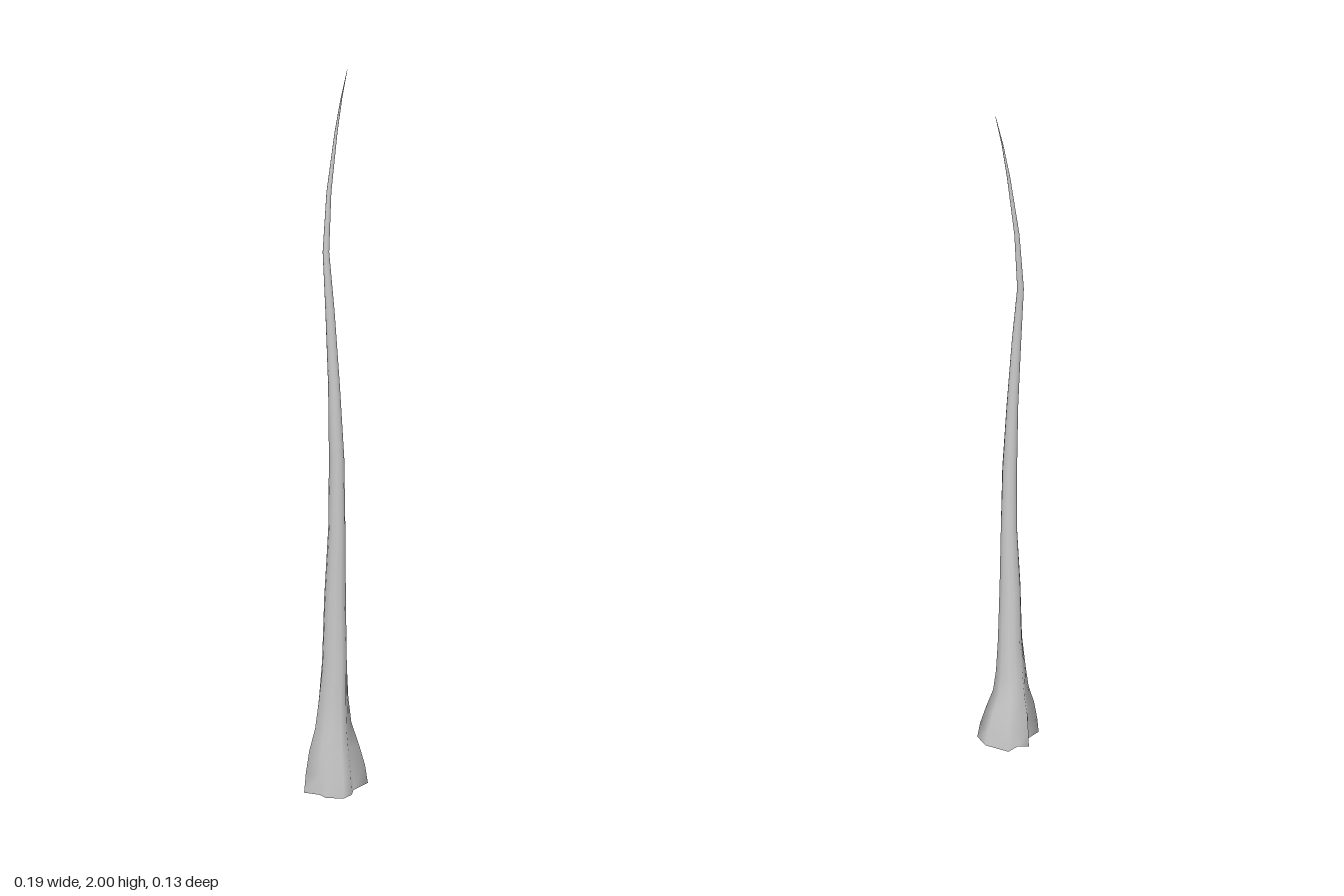
import * as THREE from 'three';

// Root flare outline at the ground, [x, z], counted from the left side towards the front
const FLARE = [
  [0.093, 0.023], [0.036, 0.037], [0.018, 0.058], [-0.012, 0.065],
  [-0.055, 0.037], [-0.062, 0.013], [-0.095, -0.02], [-0.055, -0.035],
  [-0.045, -0.068], [-0.012, -0.057], [0.022, -0.068], [0.08, -0.02],
];

// Trunk sections: y, min x, max x, min z, max z, share of the flare outline
const SECTIONS = [
  [0, -0.095, 0.093, -0.068, 0.065, 1],
  [0.06, -0.09, 0.084, -0.065, 0.062, 0.95],
  [0.13, -0.08, 0.066, -0.061, 0.056, 0.8],
  [0.2, -0.063, 0.044, -0.055, 0.052, 0.6],
  [0.28, -0.055, 0.035, -0.046, 0.048, 0.4],
  [0.4, -0.045, 0.028, -0.035, 0.046, 0.25],
  [0.6, -0.042, 0.02, -0.019, 0.045, 0.15],
  [0.8, -0.034, 0.013, -0.004, 0.047, 0.1],
  [1.0, -0.035, 0.005, 0.006, 0.05, 0],
  [1.2, -0.037, -0.006, 0.01, 0.041, 0],
  [1.4, -0.043, -0.018, 0.01, 0.03, 0],
  [1.55, -0.046, -0.029, 0.004, 0.02, 0],
  [1.7, -0.032, -0.019, 0.001, 0.012, 0],
  [1.85, -0.008, 0, 0.003, 0.009, 0],
  [1.93, 0.008, 0.012, 0.006, 0.01, 0],
  [2, 0.026, 0.027, 0.008, 0.009, 0],
];

function createTrunk(material) {
  const n = FLARE.length;
  const positions = [];
  const index = [];

  SECTIONS.forEach(([y, x0, x1, z0, z1, share], row) => {
    const cx = (x0 + x1) / 2, cz = (z0 + z1) / 2;
    const rx = (x1 - x0) / 2, rz = (z1 - z0) / 2;
    FLARE.forEach(([fx, fz], i) => {
      // blend the unit flare outline into a unit circle
      const a = (i / n) * Math.PI * 2;
      const ux = THREE.MathUtils.lerp(Math.cos(a), (fx + 0.001) / 0.094, share);
      const uz = THREE.MathUtils.lerp(Math.sin(a), (fz + 0.0015) / 0.0665, share);
      positions.push(cx + rx * ux, y, cz + rz * uz);

      if (row < SECTIONS.length - 1) {
        const p = row * n + i, q = row * n + (i + 1) % n;
        index.push(p, p + n, q, q, p + n, q + n);
      }
    });
  });

  const geometry = new THREE.BufferGeometry();
  geometry.setAttribute('position', new THREE.Float32BufferAttribute(positions, 3));
  geometry.setIndex(index);
  geometry.computeVertexNormals();
  const trunk = new THREE.Mesh(geometry, material);
  trunk.name = 'trunk';
  return trunk;
}

export function createModel() {
  const group = new THREE.Group();
  group.name = 'taperedTrunk';
  // the trunk is an open shell at the foot
  const bark = new THREE.MeshStandardMaterial({ color: 0xcccccc, side: THREE.DoubleSide });
  group.add(createTrunk(bark));
  return group;
}
